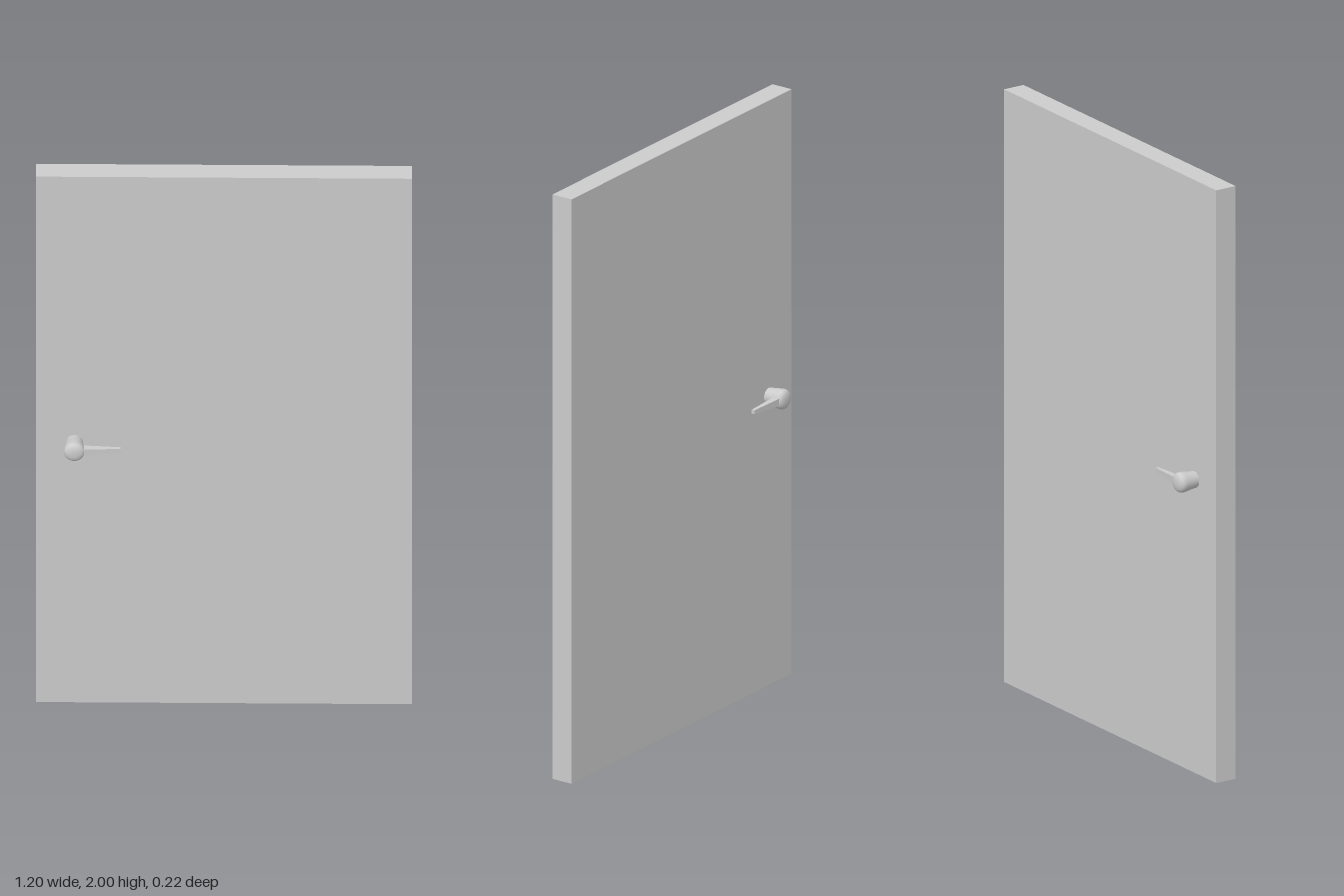
import * as THREE from 'three';

const material = new THREE.MeshStandardMaterial({ color: 0xcccccc });

function addMesh(parent, name, geometry) {
  const mesh = new THREE.Mesh(geometry, material);
  mesh.name = name;
  parent.add(mesh);
  return mesh;
}

// Lever bar along +x: flat on the door side, tapering in height and depth to the tip
function leverGeometry() {
  const geometry = new THREE.BoxGeometry(1, 1, 1);
  const p = geometry.attributes.position;
  for (let i = 0; i < p.count; i++) {
    const tip = p.getX(i) > 0;
    const outer = p.getZ(i) > 0;
    const x = tip ? 0.147 : 0.01;
    const y = p.getY(i) * (tip ? 0.013 : 0.027);
    const z = outer ? (tip ? 0.049 : 0.064) : 0.038;
    p.setXYZ(i, x, y, z);
  }
  geometry.computeVertexNormals();
  return geometry;
}

// Knob profile (radius, distance from the door face), with a softly rounded end
function knobGeometry() {
  const neck = [[0.027, -0.003], [0.0275, 0.004], [0.029, 0.018], [0.0315, 0.034], [0.0332, 0.047]];
  const points = neck.map(([r, h]) => new THREE.Vector2(r, h));
  const end = new THREE.CubicBezierCurve(
    new THREE.Vector2(0.0335, 0.051), new THREE.Vector2(0.0345, 0.066),
    new THREE.Vector2(0.023, 0.073), new THREE.Vector2(0, 0.073));
  points.push(...end.getPoints(10));
  return new THREE.LatheGeometry(points, 32).rotateX(Math.PI / 2);
}

function createHandle(name) {
  const handle = new THREE.Group();
  handle.name = name;
  addMesh(handle, 'knob', knobGeometry());
  addMesh(handle, 'lever', leverGeometry());
  return handle;
}

export function createModel() {
  const model = new THREE.Group();
  model.name = 'door';

  // Plain door slab
  addMesh(model, 'doorPanel', new THREE.BoxGeometry(1.2, 2, 0.075)).position.set(0, 1, -0.0025);

  // Handles on both faces, the back one mirrored
  const front = createHandle('frontHandle');
  front.position.set(-0.477, 0.99, 0.035);
  const back = createHandle('backHandle');
  back.position.set(-0.477, 0.99, -0.04);
  back.scale.z = -1;
  model.add(front, back);

  return model;
}
